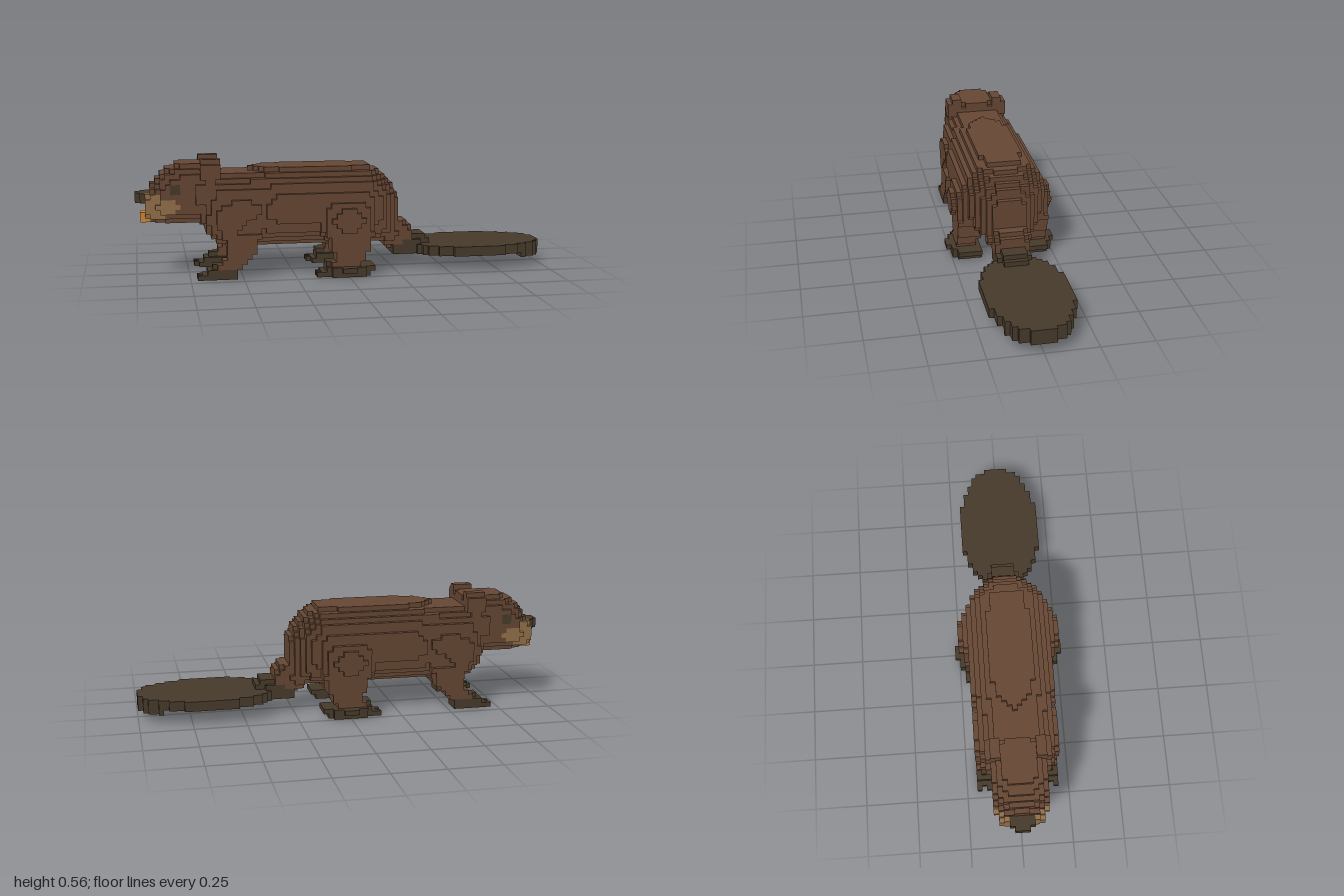
import * as THREE from 'three';

const S = 2 / 85; // cell size of the block grid
const NX = 85, NY = 24, NZ = 23;
const mat = (name, color) => Object.assign(new THREE.MeshStandardMaterial({ color }), { name });

// --- solid shapes as inside tests ---
const box = (x0, x1, y0, y1, z0, z1) => (x, y, z) =>
  x > x0 && x < x1 && y > y0 && y < y1 && z > z0 && z < z1;

const ellipsoid = (cx, cy, cz, rx, ry, rz) => (x, y, z) =>
  ((x - cx) / rx) ** 2 + ((y - cy) / ry) ** 2 + ((z - cz) / rz) ** 2 < 1;

// interpolate rows [t, a, b, ...] at t
function lerpRows(rows, t) {
  if (t < rows[0][0] || t > rows[rows.length - 1][0]) return null;
  const i = Math.max(1, rows.findIndex(r => r[0] >= t));
  const p = rows[i - 1], q = rows[i], f = (t - p[0]) / (q[0] - p[0]);
  return p.map((v, k) => v + (q[k] - v) * f);
}

// rounded cross-sections along x: [x, bottom, top, half width]
const loft = (rows, n) => (x, y, z) => {
  const r = lerpRows(rows, x);
  if (!r) return false;
  const cy = (r[1] + r[2]) / 2, ry = (r[2] - r[1]) / 2;
  return Math.abs((y - cy) / ry) ** n + Math.abs(z / r[3]) ** n < 1;
};

// leg as rows in height: [y, x front, x back, z inner, z outer]
const leg = rows => (x, y, z) => {
  const r = lerpRows(rows, y);
  return !!r && x > r[1] && x < r[2] && z > r[3] && z < r[4];
};
const any = (...tests) => (x, y, z) => tests.some(t => t(x, y, z));

export function createModel() {
  const fur = mat('brown fur', 0x664734);
  const dark = mat('dark skin', 0x473a2b);
  const tan = mat('tan muzzle', 0x94704a);
  const orange = mat('orange teeth', 0xd08836);

  const parts = []; // later parts replace earlier cells
  const add = (name, material, test) => parts.push({ name, material, test });
  const addPair = (name, material, test) => {
    add('left' + name, material, test);
    add('right' + name, material, (x, y, z) => test(x, y, -z));
  };

  // torso
  add('body', fur, loft([
    [-0.71, 0.28, 0.47, 0.12], [-0.66, 0.22, 0.497, 0.155], [-0.60, 0.18, 0.5, 0.185],
    [-0.50, 0.145, 0.5, 0.195], [-0.40, 0.14, 0.512, 0.187], [-0.30, 0.14, 0.523, 0.2],
    [0.0, 0.14, 0.523, 0.2], [0.11, 0.14, 0.52, 0.195], [0.18, 0.135, 0.48, 0.165],
    [0.23, 0.13, 0.43, 0.12], [0.268, 0.17, 0.37, 0.075],
  ], 2.3));

  // limbs
  addPair('Shoulder', fur, ellipsoid(-0.56, 0.28, 0.11, 0.125, 0.13, 0.092));
  addPair('Thigh', fur, ellipsoid(0.0, 0.27, 0.13, 0.155, 0.125, 0.12));
  addPair('FrontLeg', fur, leg([
    [0.04, -0.63, -0.52, 0.125, 0.2], [0.08, -0.60, -0.49, 0.125, 0.2],
    [0.13, -0.57, -0.43, 0.12, 0.2], [0.22, -0.60, -0.42, 0.09, 0.2],
  ]));
  addPair('HindLeg', fur, leg([
    [0.04, -0.09, 0.06, 0.13, 0.223], [0.09, -0.06, 0.085, 0.12, 0.223],
    [0.14, -0.08, 0.11, 0.105, 0.223], [0.21, -0.1, 0.12, 0.08, 0.223],
  ]));
  addPair('FrontPaw', dark, any(
    box(-0.685, -0.53, 0, 0.024, 0.106, 0.2),
    box(-0.66, -0.53, 0.024, 0.048, 0.106, 0.2),
    box(-0.64, -0.60, 0.048, 0.07, 0.13, 0.18),
    ...[0.141, 0.188].map(z => box(-0.71, -0.68, 0, 0.024, z - 0.011, z + 0.011)),
  ));
  addPair('HindFoot', dark, any(
    box(-0.135, 0.1, 0, 0.024, 0.106, 0.225),
    box(-0.115, 0.12, 0.024, 0.048, 0.106, 0.225),
    box(-0.09, 0.09, 0, 0.048, 0.22, 0.247),
    box(-0.04, 0.035, 0.024, 0.048, 0.24, 0.27),
    box(-0.10, -0.05, 0.048, 0.07, 0.13, 0.2),
    ...[0.165, 0.212].map(z => box(-0.155, -0.12, 0, 0.024, z - 0.011, z + 0.011)),
  ));

  // head
  add('head', fur, loft([
    [-0.93, 0.27, 0.42, 0.09], [-0.90, 0.26, 0.46, 0.112], [-0.86, 0.257, 0.51, 0.128],
    [-0.80, 0.255, 0.54, 0.134], [-0.75, 0.25, 0.548, 0.138], [-0.66, 0.25, 0.548, 0.15],
    [-0.59, 0.25, 0.53, 0.15],
  ], 2.4));
  addPair('Ear', fur, any(
    box(-0.695, -0.6, 0.44, 0.565, 0.083, 0.13),
    box(-0.695, -0.6, 0.48, 0.542, 0.083, 0.153),
  ));
  add('muzzle', tan, loft([
    [-0.955, 0.28, 0.40, 0.1], [-0.90, 0.27, 0.41, 0.118], [-0.83, 0.29, 0.40, 0.13],
    [-0.79, 0.31, 0.37, 0.125],
  ], 3));
  addPair('WhiskerPad', tan, box(-0.885, -0.86, 0.33, 0.353, 0.1, 0.13));
  addPair('Eye', dark, box(-0.838, -0.79, 0.40, 0.447, 0.1, 0.135));
  add('nose', dark, any(
    box(-1, -0.93, 0.355, 0.4, -0.036, 0.036),
    box(-0.98, -0.93, 0.355, 0.4, -0.06, 0.06),
  ));
  add('teeth', orange, box(-0.98, -0.93, 0.25, 0.305, -0.036, 0.036));

  // tail
  add('tailRoot', fur, loft([
    [0.19, 0.11, 0.30, 0.12], [0.26, 0.1, 0.25, 0.095], [0.30, 0.1, 0.24, 0.085], [0.34, 0.1, 0.2, 0.08],
  ], 2.6));
  add('tailJoint', dark, any(
    box(0.25, 0.36, 0.07, 0.118, -0.083, 0.083),
    box(0.285, 0.385, 0.118, 0.142, -0.083, 0.083),
    box(0.285, 0.41, 0.118, 0.165, -0.06, 0.06),
    box(0.4, 0.435, 0.118, 0.142, -0.06, 0.06),
  ));
  add('tailPaddle', dark, (x, y, z) =>
    y > (x > 0.88 ? 0.047 : 0.07) && y < 0.118 &&
    ((x - 0.665) / 0.342) ** 2 + (z / 0.204) ** 2 < 1);

  // fill the grid
  const grid = new Int8Array(NX * NY * NZ).fill(-1);
  const at = (i, j, k) => (i < 0 || j < 0 || k < 0 || i >= NX || j >= NY || k >= NZ)
    ? -1 : grid[(i * NY + j) * NZ + k];
  const forCells = fn => {
    for (let i = 0; i < NX; i++) for (let j = 0; j < NY; j++) for (let k = 0; k < NZ; k++) fn(i, j, k);
  };
  forCells((i, j, k) => {
    const x = -1 + (i + 0.5) * S, y = (j + 0.5) * S, z = (k - 11) * S;
    parts.forEach((p, n) => { if (p.test(x, y, z)) grid[(i * NY + j) * NZ + k] = n; });
  });

  // emit only the exposed block faces
  const bufs = parts.map(() => ({ pos: [], nor: [], idx: [] }));
  const ring = [[0, 0], [1, 0], [1, 1], [0, 1]];
  forCells((i, j, k) => {
    const n = at(i, j, k);
    if (n < 0) return;
    const { pos, nor, idx } = bufs[n];
    for (let d = 0; d < 3; d++) for (const side of [-1, 1]) {
      const normal = [0, 0, 0];
      normal[d] = side;
      if (at(i + normal[0], j + normal[1], k + normal[2]) >= 0) continue;
      const b = pos.length / 3;
      for (const [u, v] of ring) {
        const c = [i, j, k];
        c[d] += side > 0 ? 1 : 0;
        c[(d + 1) % 3] += u;
        c[(d + 2) % 3] += v;
        pos.push(-1 + c[0] * S, c[1] * S, (c[2] - 11.5) * S);
        nor.push(...normal);
      }
      idx.push(...(side > 0 ? [b, b + 1, b + 2, b, b + 2, b + 3] : [b, b + 2, b + 1, b, b + 3, b + 2]));
    }
  });

  const group = new THREE.Group();
  group.name = 'beaver';
  parts.forEach((p, n) => {
    if (!bufs[n].idx.length) return;
    const g = new THREE.BufferGeometry();
    g.setAttribute('position', new THREE.Float32BufferAttribute(bufs[n].pos, 3));
    g.setAttribute('normal', new THREE.Float32BufferAttribute(bufs[n].nor, 3));
    g.setIndex(bufs[n].idx);
    const mesh = new THREE.Mesh(g, p.material);
    mesh.name = p.name;
    group.add(mesh);
  });
  return group;
}
